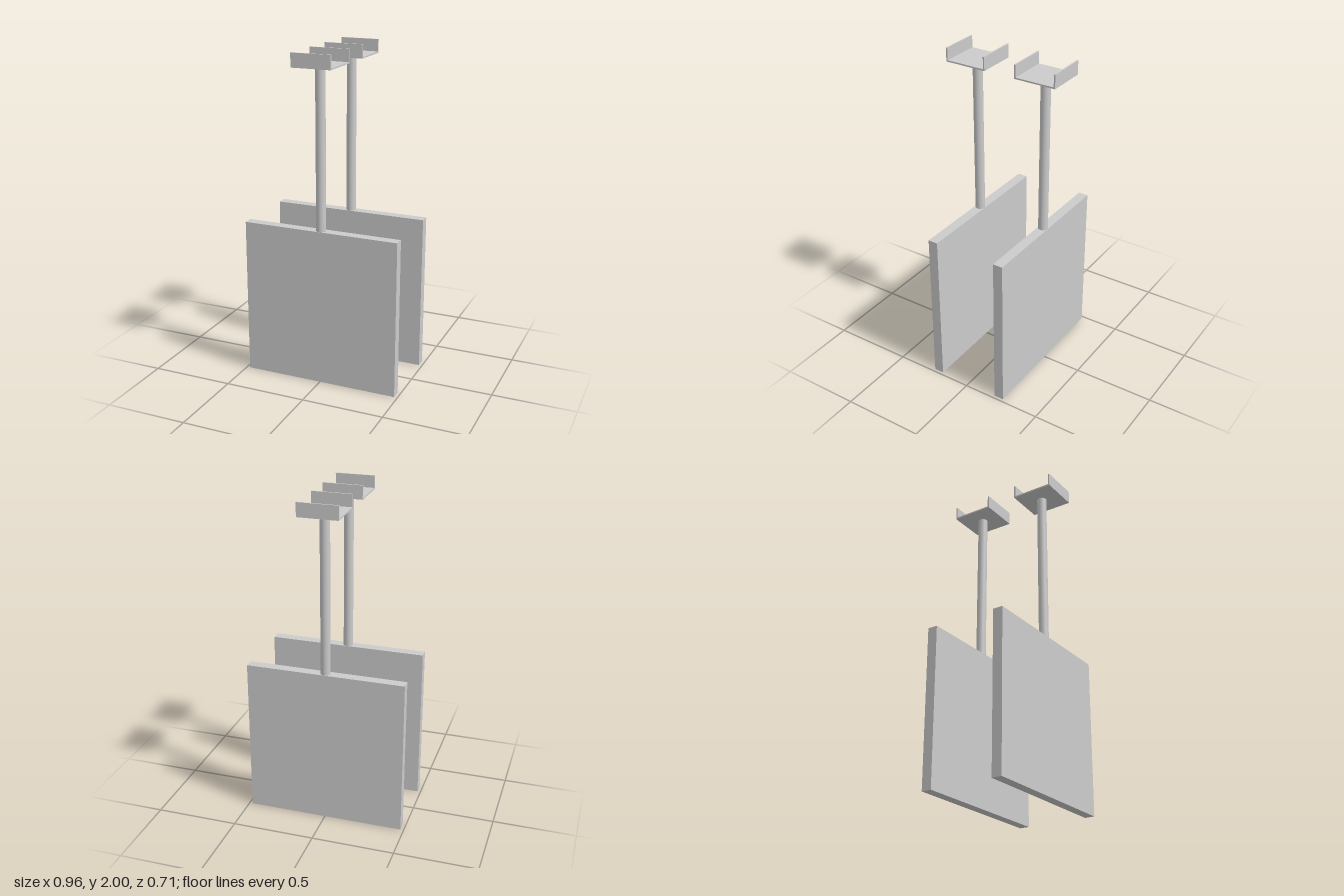
import * as THREE from 'three';

const material = new THREE.MeshStandardMaterial({ color: 0xcccccc });

function addMesh(parent, name, geometry, x, y, z) {
  const mesh = new THREE.Mesh(geometry, material);
  mesh.name = name;
  mesh.position.set(x, y, z);
  parent.add(mesh);
}

// U-shaped channel, open at the top and at both x ends
function bracketGeometry(width, depth, height, wall) {
  const d = depth / 2;
  const shape = new THREE.Shape([
    [-d, 0], [d, 0], [d, height], [d - wall, height],
    [d - wall, wall], [-d + wall, wall], [-d + wall, height], [-d, height],
  ].map(([x, y]) => new THREE.Vector2(x, y)));
  return new THREE.ExtrudeGeometry(shape, { depth: width, bevelEnabled: false })
    .translate(0, 0, -width / 2)
    .rotateY(Math.PI / 2);
}

function createSign(name, z) {
  const sign = new THREE.Group();
  sign.name = name;
  sign.position.z = z;
  const panelTop = 0.96, bracketBase = 1.918;
  const poleLength = bracketBase - panelTop;

  addMesh(sign, 'panel', new THREE.BoxGeometry(0.96, panelTop, 0.061), 0, panelTop / 2, 0);
  addMesh(sign, 'pole', new THREE.CylinderGeometry(0.029, 0.029, poleLength, 32), 0, panelTop + poleLength / 2, 0);
  addMesh(sign, 'bracket', bracketGeometry(0.239, 0.257, 2 - bracketBase, 0.009), 0, bracketBase, 0);
  return sign;
}

export function createModel() {
  const model = new THREE.Group();
  model.name = 'hangingPanels';
  model.add(createSign('frontHangingPanel', 0.225), createSign('backHangingPanel', -0.225));
  return model;
}
